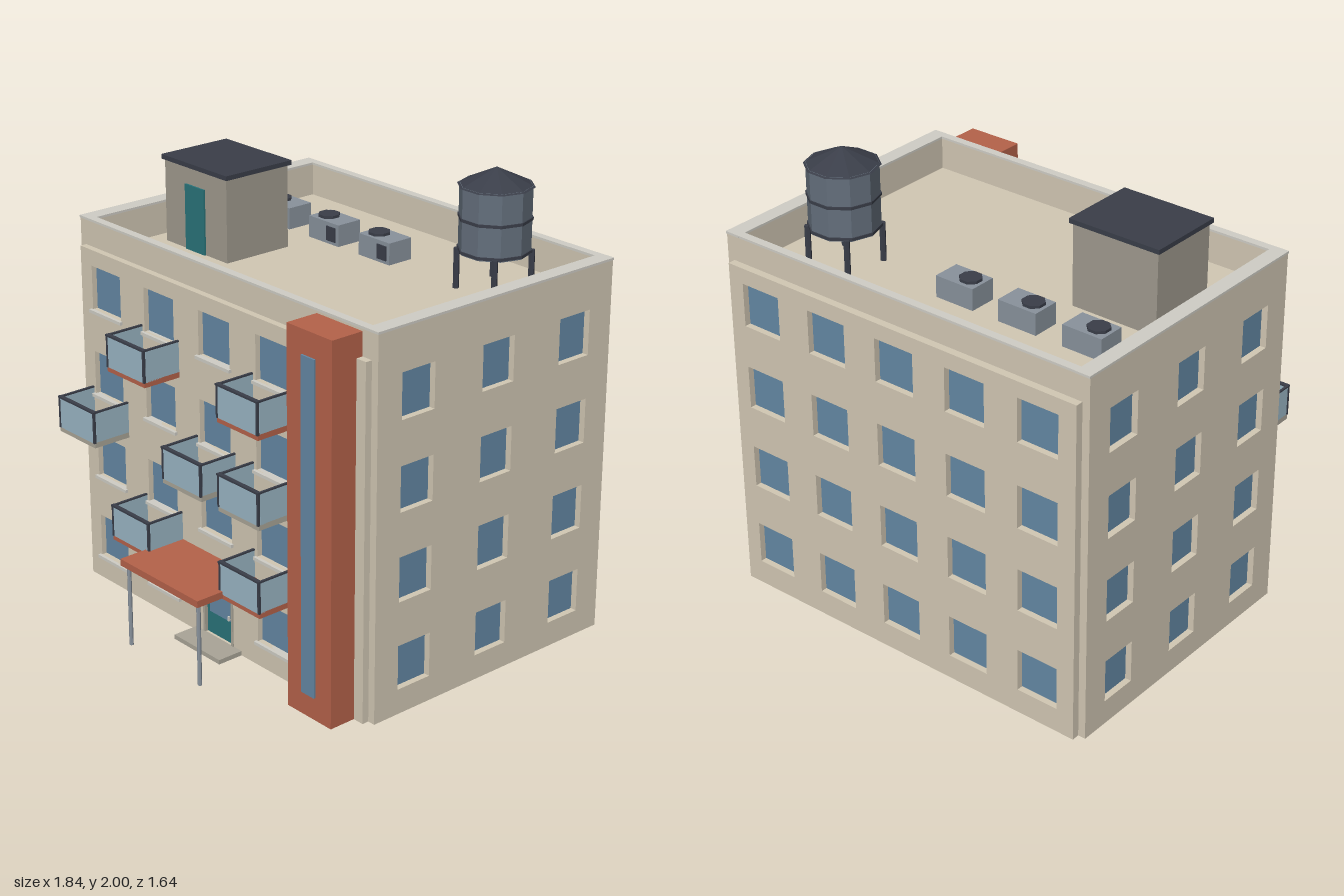
import * as THREE from 'three';

const mat = (color) => new THREE.MeshStandardMaterial({ color });
const M = {
  wall: mat(0xd2c8b4), cap: mat(0xd0cec6), glass: mat(0x6488a4), pane: mat(0x9ab6c4),
  brick: mat(0xb5624a), dark: mat(0x3a3e49), teal: mat(0x2a747a), metal: mat(0x89929c),
  steel: mat(0x646f7c), slab: mat(0xaaa598), hut: mat(0xa09a8e),
};

// Box given by its limits on each axis
function box(parent, name, m, [x0, x1], [y0, y1], [z0, z1]) {
  const mesh = new THREE.Mesh(new THREE.BoxGeometry(x1 - x0, y1 - y0, z1 - z0), m);
  mesh.position.set((x0 + x1) / 2, (y0 + y1) / 2, (z0 + z1) / 2);
  mesh.name = name;
  parent.add(mesh);
  return mesh;
}

function cyl(parent, name, m, rTop, rBottom, y0, y1, x, z, sides) {
  const geo = new THREE.CylinderGeometry(rTop, rBottom, y1 - y0, sides);
  geo.rotateY(Math.PI / 2);
  const flat = m.clone();
  flat.flatShading = true;
  const mesh = new THREE.Mesh(geo, flat);
  mesh.position.set(x, (y0 + y1) / 2, z);
  mesh.name = name;
  parent.add(mesh);
  return mesh;
}

function group(parent, name) {
  const g = new THREE.Group();
  g.name = name;
  parent.add(g);
  return g;
}

const FLOORS = [0.11, 0.493, 0.875, 1.257]; // window bottoms
const WIN_H = 0.193, WALL_H = 1.52;
const COLS = [-0.715, -0.36, -0.005, 0.35, 0.705];

// Wall slab with window openings and recessed glass; inner face on local z = 0
function wall(parent, name, width, depth, openings) {
  const g = group(parent, name);
  const s = new THREE.Shape();
  const w = width / 2;
  s.moveTo(-w, 0).lineTo(w, 0).lineTo(w, WALL_H).lineTo(-w, WALL_H).closePath();
  for (const [x, y, ww, h] of openings) {
    const p = new THREE.Path();
    p.moveTo(x - ww / 2, y).lineTo(x - ww / 2, y + h).lineTo(x + ww / 2, y + h).lineTo(x + ww / 2, y).closePath();
    s.holes.push(p);
    box(g, 'windowGlass', M.glass, [x - ww / 2, x + ww / 2], [y, y + h], [-0.005, 0.006]);
  }
  const mesh = new THREE.Mesh(new THREE.ExtrudeGeometry(s, { depth, bevelEnabled: false }), M.wall);
  mesh.name = 'wallPanel';
  g.add(mesh);
  return g;
}

function balcony(parent, x, y, floorMat) {
  const g = group(parent, 'balcony');
  const a = x - 0.12, b = x + 0.12, top = y + 0.155;
  box(g, 'balconyFloor', floorMat, [a - 0.004, b + 0.004], [y, y + 0.024], [0.505, 0.688]);
  box(g, 'balconyFrontPane', M.pane, [a, b], [y + 0.02, top], [0.678, 0.69]);
  box(g, 'balconyFrontRail', M.dark, [a - 0.006, b + 0.006], [top, top + 0.008], [0.676, 0.694]);
  for (const sx of [a, b]) {
    box(g, 'balconySidePane', M.pane, [sx - 0.004, sx + 0.004], [y + 0.02, top], [0.51, 0.68]);
    box(g, 'balconySideRail', M.dark, [sx - 0.005, sx + 0.005], [top, top + 0.007], [0.51, 0.68]);
    box(g, 'balconyPost', M.dark, [sx - 0.005, sx + 0.005], [y + 0.02, top], [0.682, 0.692]);
  }
}

export function createModel() {
  const model = new THREE.Group();
  model.name = 'apartmentBlock';

  // Core, walls and roof edge
  box(model, 'core', M.wall, [-0.886, 0.886], [0, 1.49], [-0.786, 0.481]);
  const front = [], back = [], side = [];
  FLOORS.forEach((y, f) => {
    COLS.forEach((x, c) => {
      back.push([x, y, 0.195, WIN_H]);
      if (c === 4 || (f === 0 && c === 2)) return;
      front.push([x, y, 0.195, WIN_H]);
      box(model, 'windowSill', M.cap, [x - 0.108, x + 0.108], [y - 0.014, y], [0.485, 0.525]);
    });
    for (const z of [-0.425, 0, 0.425]) side.push([z, y, 0.17, WIN_H]);
  });
  front.push([-0.003, 0.02, 0.195, 0.285]);
  wall(model, 'frontWall', 1.772, 0.03, front).position.z = 0.481;
  const rear = wall(model, 'backWall', 1.772, 0.034, back);
  rear.rotation.y = Math.PI;
  rear.position.z = -0.786;
  for (const s of [-1, 1]) {
    const w = wall(model, s > 0 ? 'leftWall' : 'rightWall', 1.267, 0.034, side);
    w.rotation.y = s * Math.PI / 2;
    w.position.set(s * 0.886, 0, -0.1525);
    const xs = (a, b) => (s > 0 ? [a, b] : [-b, -a]);
    box(model, 'sideParapet', M.wall, xs(0.855, 0.92), [1.48, 1.63], [-0.786, 0.481]);
    box(model, 'sideCoping', M.cap, xs(0.853, 0.922), [1.63, 1.64], [-0.79, 0.484]);
  }
  for (const [a, b] of [[-0.786, -0.755], [0.45, 0.481]]) {
    box(model, 'parapet', M.wall, [-0.86, 0.86], [1.48, 1.63], [a, b]);
    box(model, 'coping', M.cap, [-0.856, 0.856], [1.63, 1.64], [a - 0.003, b + 0.003]);
  }

  // Stair tower
  box(model, 'stairTower', M.brick, [0.58, 0.835], [0, 1.62], [0.482, 0.632]);
  box(model, 'stairWindow', M.glass, [0.668, 0.744], [0.1, 1.52], [0.625, 0.64]);

  // Balconies
  for (const [x, y, m] of [
    [-0.355, 1.122, M.brick], [0.352, 1.122, M.brick],
    [-0.71, 0.742, M.slab], [-0.002, 0.742, M.slab], [0.352, 0.742, M.slab],
    [-0.355, 0.36, M.brick], [0.352, 0.36, M.brick],
  ]) balcony(model, x, y, m);

  // Entrance
  const entry = group(model, 'entrance');
  box(entry, 'door', M.teal, [-0.088, 0.082], [0.02, 0.297], [0.484, 0.5]);
  box(entry, 'doorWindow', M.glass, [-0.07, 0.064], [0.12, 0.268], [0.49, 0.503]);
  box(entry, 'doorHandle', M.cap, [0.056, 0.064], [0.125, 0.145], [0.5, 0.512]);
  for (const x of [-0.1, 0.082]) box(entry, 'doorJamb', M.slab, [x, x + 0.012], [0.02, 0.305], [0.48, 0.515]);
  box(entry, 'doorLintel', M.slab, [-0.1, 0.094], [0.295, 0.307], [0.48, 0.515]);
  box(entry, 'doorStep', M.slab, [-0.15, 0.145], [0, 0.02], [0.49, 0.63]);
  box(entry, 'canopy', M.brick, [-0.255, 0.25], [0.365, 0.395], [0.505, 0.82]);
  for (const x of [-0.23, 0.225]) cyl(entry, 'canopyPost', M.metal, 0.009, 0.009, 0, 0.366, x, 0.795, 8);

  // Roof hut
  const hut = group(model, 'roofHut');
  box(hut, 'hutWalls', M.hut, [-0.775, -0.37], [1.48, 1.852], [-0.19, 0.14]);
  box(hut, 'hutRoof', M.dark, [-0.787, -0.358], [1.85, 1.87], [-0.202, 0.15]);
  box(hut, 'hutDoor', M.teal, [-0.635, -0.51], [1.49, 1.775], [0.13, 0.148]);

  // Cooling units
  for (let i = 0; i < 3; i++) {
    const x = -0.728 + i * 0.315;
    const g = group(model, 'coolingUnit');
    box(g, 'unitCase', M.metal, [x, x + 0.187], [1.485, 1.585], [-0.47, -0.347]);
    cyl(g, 'unitFan', M.dark, 0.048, 0.048, 1.58, 1.597, x + 0.06, -0.408, 8).rotation.y = Math.PI / 8;
    box(g, 'unitGrille', M.dark, [x + 0.115, x + 0.17], [1.505, 1.568], [-0.35, -0.341]);
  }

  // Water tank
  const tank = group(model, 'waterTank');
  cyl(tank, 'tankBody', M.steel, 0.148, 0.148, 1.65, 1.93, 0.57, -0.47, 10);
  for (const y of [1.655, 1.79]) cyl(tank, 'tankHoop', M.dark, 0.153, 0.153, y, y + 0.012, 0.57, -0.47, 10);
  cyl(tank, 'tankRoof', M.dark, 0, 0.157, 1.925, 2.0, 0.57, -0.47, 10);
  for (const sx of [-1, 1]) for (const sz of [-1, 1]) {
    cyl(tank, 'tankLeg', M.dark, 0.013, 0.013, 1.485, 1.66, 0.57 + sx * 0.107, -0.47 + sz * 0.105, 6);
  }
  return model;
}
